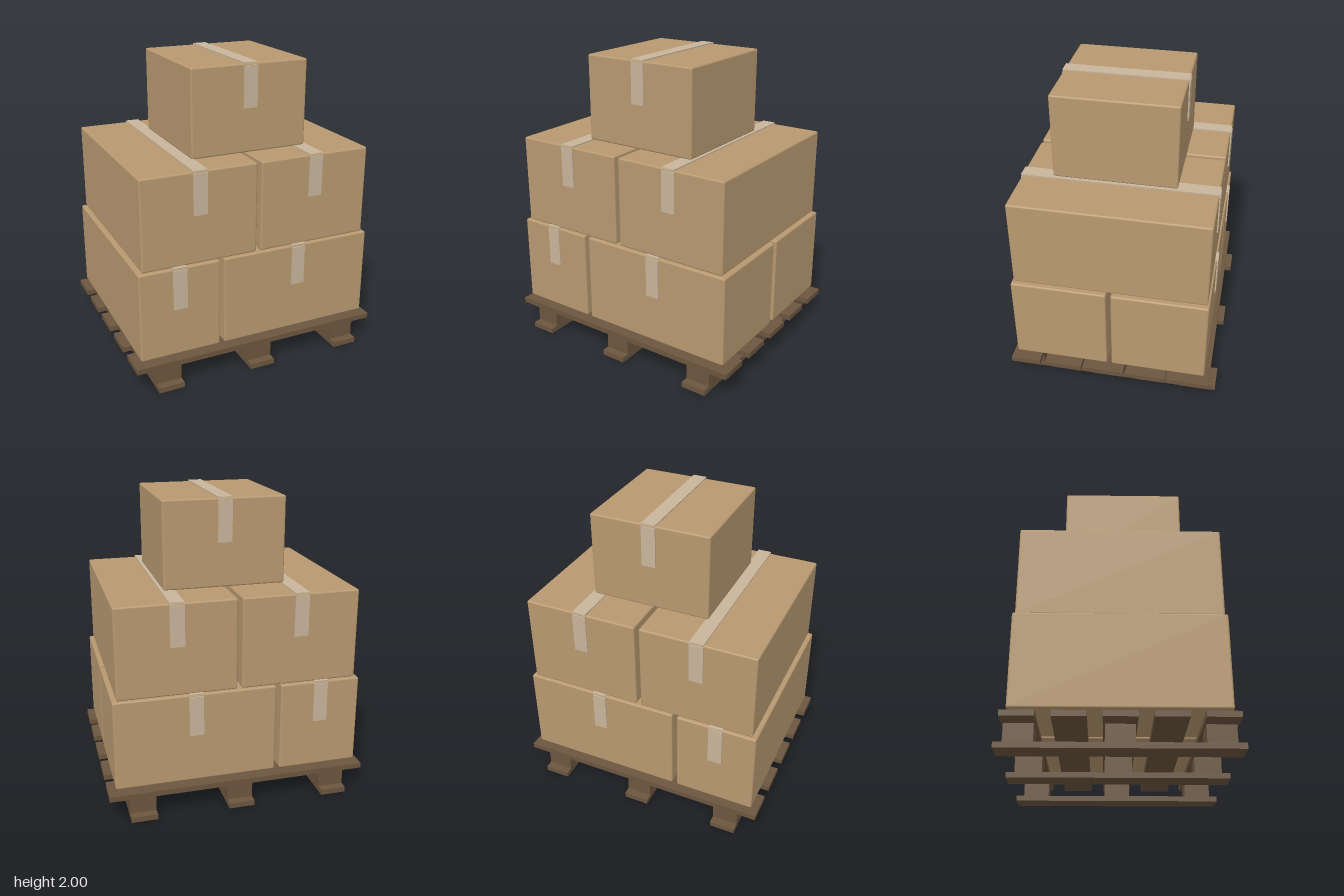
import * as THREE from 'three';
import { RoundedBoxGeometry } from 'three/addons/geometries/RoundedBoxGeometry.js';

const material = (name, color) => {
  const m = new THREE.MeshStandardMaterial({ color });
  m.name = name;
  return m;
};

export function createModel() {
  const cardboard = material('cardboard', 0xb89970);
  const tape = material('packing tape', 0xc8b59b);
  const wood = material('pallet wood', 0x6c563f);

  const model = new THREE.Group();
  model.name = 'loadedPallet';

  // Box given by its lower and upper limits on each axis
  function block(parent, name, mat, [x0, x1], [y0, y1], [z0, z1], radius = 0) {
    const size = [x1 - x0, y1 - y0, z1 - z0];
    const geometry = radius
      ? new RoundedBoxGeometry(...size, 2, radius)
      : new THREE.BoxGeometry(...size);
    const mesh = new THREE.Mesh(geometry, mat);
    mesh.name = name;
    mesh.position.set((x0 + x1) / 2, (y0 + y1) / 2, (z0 + z1) / 2);
    parent.add(mesh);
  }
  const around = (centre, half) => [centre - half, centre + half];

  // Pallet: deck boards over blocks on three runners
  const pallet = new THREE.Group();
  pallet.name = 'pallet';
  model.add(pallet);
  for (let i = -2; i <= 2; i++) {
    block(pallet, 'deckBoard', wood, [-0.865, 0.865], [0.144, 0.18], around(i * 0.29, 0.1));
  }
  for (const x of [-0.65, 0, 0.65]) {
    block(pallet, 'runner', wood, around(x, 0.086), [0, 0.036], [-0.722, 0.722]);
    for (const z of [-0.58, 0, 0.58]) {
      block(pallet, 'spacerBlock', wood, around(x, 0.086), [0.036, 0.144], around(z, 0.088));
    }
  }

  // Carton with a tape strip along its top, folded down at the front and back
  function carton(name, xs, ys, zs, tapeX) {
    const group = new THREE.Group();
    group.name = name;
    model.add(group);
    block(group, 'carton', cardboard, xs, ys, zs, 0.012);
    const [z0, z1] = zs;
    const top = ys[1];
    const width = around(tapeX, 0.047);
    block(group, 'topTape', tape, width, [top - 0.001, top + 0.008], [z0 - 0.005, z1 + 0.005]);
    const drop = [top - 0.28, top - 0.012];
    block(group, 'frontTape', tape, width, drop, [z1 - 0.001, z1 + 0.008]);
    block(group, 'backTape', tape, width, drop, [z0 - 0.008, z0 + 0.001]);
  }

  // Bottom layer: one long carton beside two wide ones
  const low = [0.207, 0.81];
  carton('bottomLongCarton', [-0.823, -0.28], low, [-0.648, 0.648], -0.553);
  carton('bottomFrontCarton', [-0.247, 0.818], low, [0.016, 0.648], 0.286);
  carton('bottomBackCarton', [-0.247, 0.818], low, [-0.646, -0.014], 0.286);

  // Middle layer: two cartons side by side
  const middle = [0.813, 1.415];
  carton('middleRightCarton', [-0.794, -0.017], middle, [-0.634, 0.634], -0.406);
  carton('middleLeftCarton', [0.013, 0.79], middle, [-0.634, 0.634], 0.4);

  // Top carton
  carton('topCarton', [-0.375, 0.429], [1.42, 1.992], [-0.373, 0.431], 0.027);

  return model;
}
